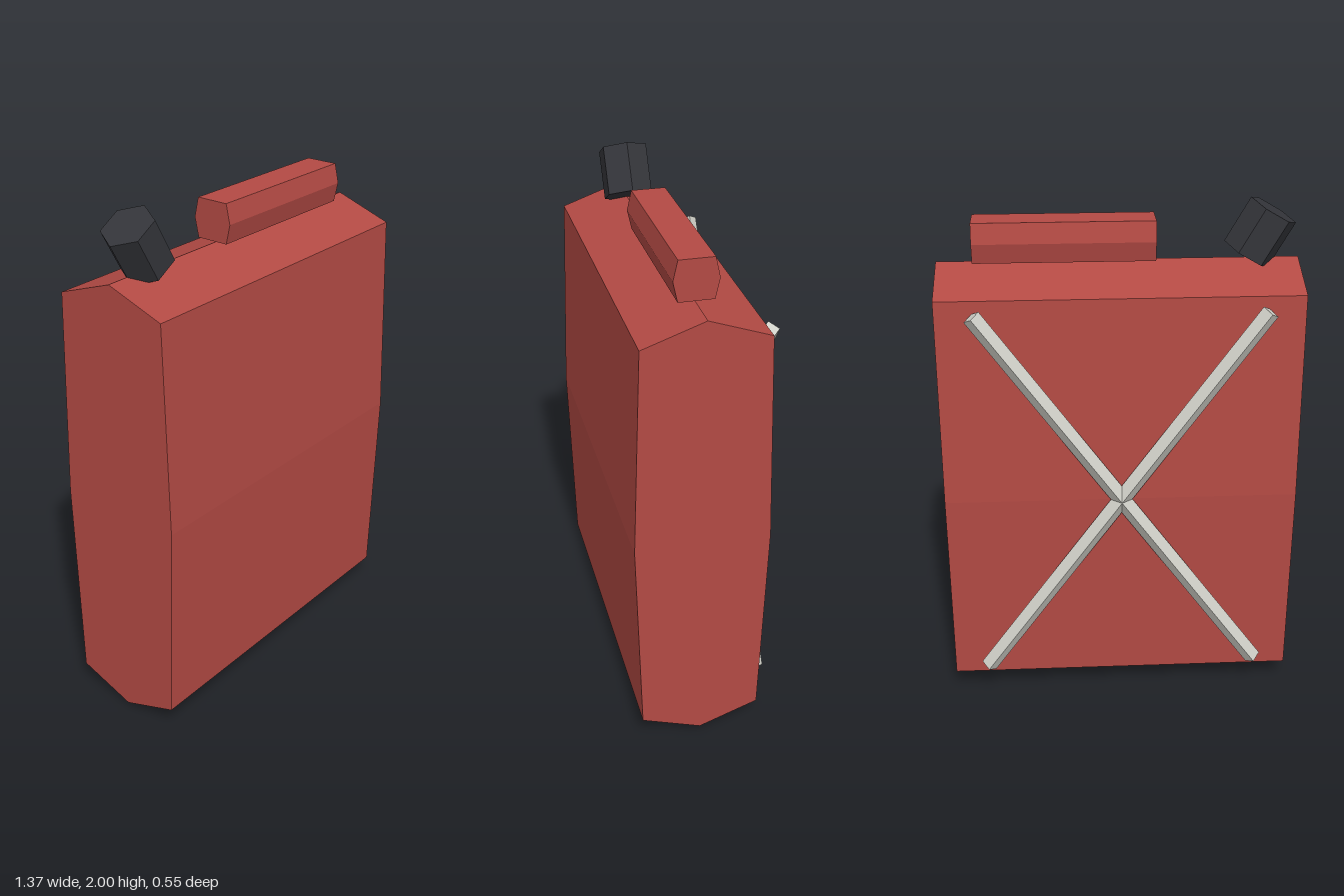
import * as THREE from 'three';

const mat = (name, color) => {
  const m = new THREE.MeshStandardMaterial({ color, flatShading: true });
  m.name = name;
  return m;
};

export function createModel() {
  const red = mat('red paint', 0xb34a44);
  const black = mat('black plastic', 0x34353a);
  const grey = mat('light grey strap', 0xd0d0c8);
  const group = new THREE.Group();
  group.name = 'fuelCan';
  const midZ = 0.02; // centre plane of the can

  const add = (name, geometry, material) => {
    const mesh = new THREE.Mesh(geometry, material);
    mesh.name = name;
    group.add(mesh);
    return mesh;
  };

  // Extrudes a side profile, given as its half outline [depth, y], from x0 to x1
  const prism = (half, x0, x1) => {
    const other = half.filter(([d]) => d > 0).reverse().map(([d, y]) => [-d, y]);
    const shape = new THREE.Shape([...half, ...other].map(([d, y]) => new THREE.Vector2(d, y)));
    return new THREE.ExtrudeGeometry(shape, { depth: x1 - x0, bevelEnabled: false })
      .rotateY(Math.PI / 2)
      .translate(x0, 0, midZ);
  };

  // Can body with ridged top and bottom and slightly bulging faces
  add('body', prism([[0, 0.004], [0.23, 0.087], [0.254, 0.89], [0.23, 1.695], [0, 1.776]], -0.683, 0.683), red);

  // Six-sided carrying handle
  add('handle', prism([[0.065, 1.785], [0.082, 1.861], [0.065, 1.937]], -0.139, 0.544), red);

  // Tilted hexagonal cap, corners pointing along x
  const cap = add('cap', new THREE.CylinderGeometry(0.1, 0.1, 0.19, 6).rotateY(Math.PI / 6), black);
  cap.position.set(-0.534, 1.873, midZ);
  cap.rotation.z = Math.PI / 6;

  // Crossed diamond-section bars on the back
  const dx = 0.544, dy = 0.754;
  for (const side of [-1, 1]) {
    const bar = add(side < 0 ? 'rightBackBar' : 'leftBackBar',
      new THREE.CylinderGeometry(0.034, 0.034, 2 * Math.hypot(dx, dy), 4), grey);
    bar.position.set(0, 0.893, -0.245);
    bar.rotation.z = -side * Math.atan2(dx, dy);
  }

  return group;
}
